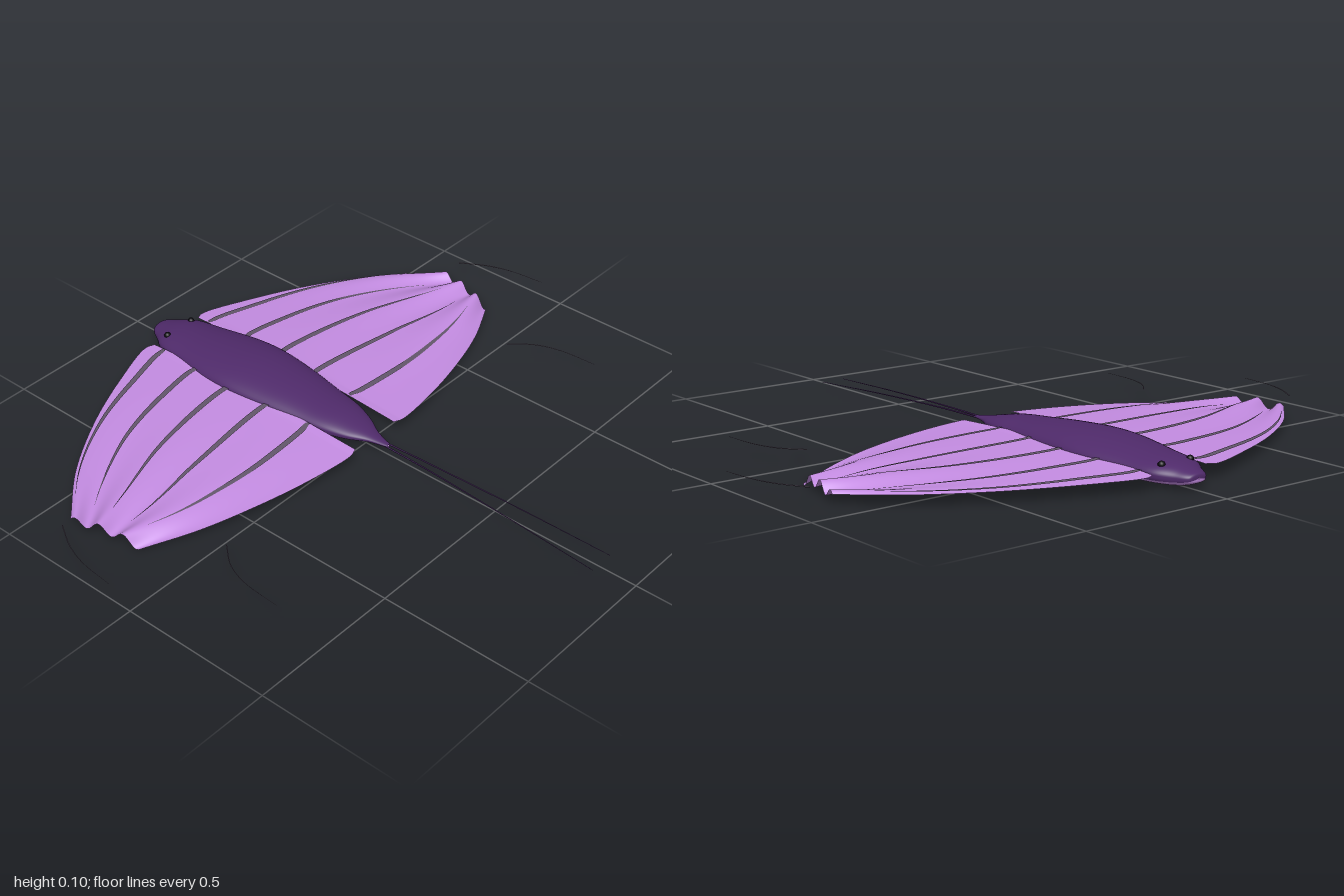
import * as THREE from 'three';

const mat = (name, color, side = THREE.FrontSide) => {
  const m = new THREE.MeshStandardMaterial({ color, side });
  m.name = name;
  return m;
};

// Smooth surface from a rule p(u, v) -> [x, y, z]
function surface(nu, nv, p, flip = false) {
  const pos = [], idx = [];
  for (let j = 0; j <= nv; j++) for (let i = 0; i <= nu; i++) pos.push(...p(i / nu, j / nv));
  for (let j = 0; j < nv; j++) for (let i = 0; i < nu; i++) {
    const a = j * (nu + 1) + i, b = a + 1, c = a + nu + 1, d = c + 1;
    idx.push(...(flip ? [a, c, b, b, c, d] : [a, b, c, b, d, c]));
  }
  const g = new THREE.BufferGeometry();
  g.setAttribute('position', new THREE.Float32BufferAttribute(pos, 3));
  g.setIndex(idx);
  g.computeVertexNormals();
  return g;
}

const curve = pts => new THREE.CatmullRomCurve3(pts.map(p => new THREE.Vector3(...p)), false, 'centripetal');

// Filament running towards +z, thinning from radius r to a fine tip
function filament(pts, r) {
  const path = curve(pts);
  return surface(6, 28, (u, v) => {
    const p = path.getPoint(v), a = u * Math.PI * 2, k = r * (1 - 0.7 * v);
    return [p.x + k * Math.cos(a), p.y + k * Math.sin(a), p.z];
  });
}

// Body stations: z, half width, top, bottom
const stations = [
  [-0.892, 0.002, 0.05, 0.046], [-0.889, 0.028, 0.061, 0.036], [-0.878, 0.04, 0.066, 0.03],
  [-0.85, 0.056, 0.074, 0.023], [-0.8, 0.088, 0.085, 0.02], [-0.7, 0.106, 0.095, 0.017],
  [-0.56, 0.13, 0.107, 0.015], [-0.46, 0.134, 0.111, 0.015], [-0.32, 0.12, 0.105, 0.016],
  [-0.2, 0.1, 0.095, 0.02], [-0.1, 0.082, 0.086, 0.028], [-0.03, 0.058, 0.073, 0.034],
  [0.03, 0.026, 0.06, 0.04], [0.09, 0.008, 0.051, 0.043],
];
const outline = curve(stations.map(([z, w, t]) => [w, t, z]));
const underline = curve(stations.map(([z, w, , b]) => [w, b, z]));
// Rounded back, flatter underside
function bodyPoint(angle, v) {
  const a = outline.getPoint(v), b = underline.getPoint(v);
  const cy = (a.y + b.y) / 2, h = (a.y - b.y) / 2;
  const c = Math.cos(angle), s = Math.sin(angle), power = s < 0 ? 0.7 : 1;
  return [a.x * Math.sign(c) * Math.abs(c) ** power, cy + h * Math.sign(s) * Math.abs(s) ** power, a.z];
}

// Wing: arched from leading to trailing edge, pleated more and more towards the tip
const lead = curve([[0.1, 0, -0.815], [0.13, 0, -0.825], [0.3, 0, -0.765], [0.5, 0, -0.67], [0.7, 0, -0.54], [0.86, 0, -0.39]]);
const trail = curve([[0.09, 0, 0.035], [0.12, 0, 0.043], [0.3, 0, 0.02], [0.5, 0, -0.03], [0.65, 0, -0.085], [0.805, 0, -0.165]]);
function wingPoint(s, u, v) {
  const p = lead.getPoint(u).lerp(trail.getPoint(u), v);
  const arch = 0.014 * Math.sin(Math.PI * v);
  const pleat = 0.015 * u ** 3 * Math.sin(v * Math.PI * 5.6 + 0.5);
  const y = 0.058 + arch - 0.024 * u ** 1.6 - 0.008 * u * v + pleat;
  return [s * p.x, y, p.z];
}

export function createModel() {
  const group = new THREE.Group();
  const bodyColor = mat('deep purple', 0x4f2a6a);
  const wingColor = mat('lavender', 0xc48ce2, THREE.DoubleSide);
  const veinColor = mat('vein grey', 0x62566a);
  const black = mat('black', 0x0c0a10);

  const add = (name, geometry, material) => {
    const m = new THREE.Mesh(geometry, material);
    m.name = name;
    group.add(m);
    return m;
  };

  // Body: dark back and pale belly
  const low = -0.35, span = Math.PI - 2 * low;
  add('back', surface(32, 64, (u, v) => bodyPoint(low + u * span, v)), bodyColor);
  add('belly', surface(16, 64, (u, v) => bodyPoint(low + span + u * (2 * Math.PI - span), v)), wingColor);

  // Mouth under the head
  const mouth = add('mouth', new THREE.SphereGeometry(1, 16, 8), black);
  mouth.scale.set(0.022, 0.004, 0.008);
  mouth.position.set(0, 0.0175, -0.75);

  for (const s of [1, -1]) {
    const side = s > 0 ? 'left' : 'right';
    add(side + 'Wing', surface(40, 72, (u, v) => wingPoint(s, u, v), s > 0), wingColor);

    // Flat veins on the upper face, fanning from the body and narrowing to the tip
    for (const v0 of [0.05, 0.23, 0.42, 0.61, 0.8]) {
      add(side + 'Vein', surface(36, 2, (a, b) => {
        const u = 0.02 + 0.88 * a;
        const width = 0.024 * Math.sin(Math.PI * (0.2 + 0.77 * a));
        const p = wingPoint(s, u, v0 + 0.02 * Math.sin(u * 6 + v0 * 5) + (b - 0.5) * width);
        p[1] += 0.003;
        return p;
      }, s > 0), veinColor);
    }

    // Eye
    const eye = add(side + 'Eye', new THREE.SphereGeometry(0.011, 14, 10), black);
    eye.position.set(s * 0.054, 0.077, -0.8);

    // Tail filament
    add(side + 'Tail', filament([[s * 0.006, 0.046, 0.05], [s * 0.013, 0.047, 0.25], [s * 0.027, 0.042, 0.55], [s * 0.042, 0.03, 0.88]], 0.003), bodyColor);

    // Thin ripple lines beyond the wing
    add(side + 'OuterRipple', filament([[s * 0.912, 0.065, -0.365], [s * 0.96, 0.065, -0.28], [s * 0.985, 0.065, -0.2], [s * 0.998, 0.065, -0.08]], 0.002), veinColor);
    add(side + 'RearRipple', filament([[s * 0.655, 0.05, 0.04], [s * 0.71, 0.05, 0.11], [s * 0.737, 0.05, 0.19], [s * 0.747, 0.05, 0.32]], 0.002), veinColor);
  }
  return group;
}
